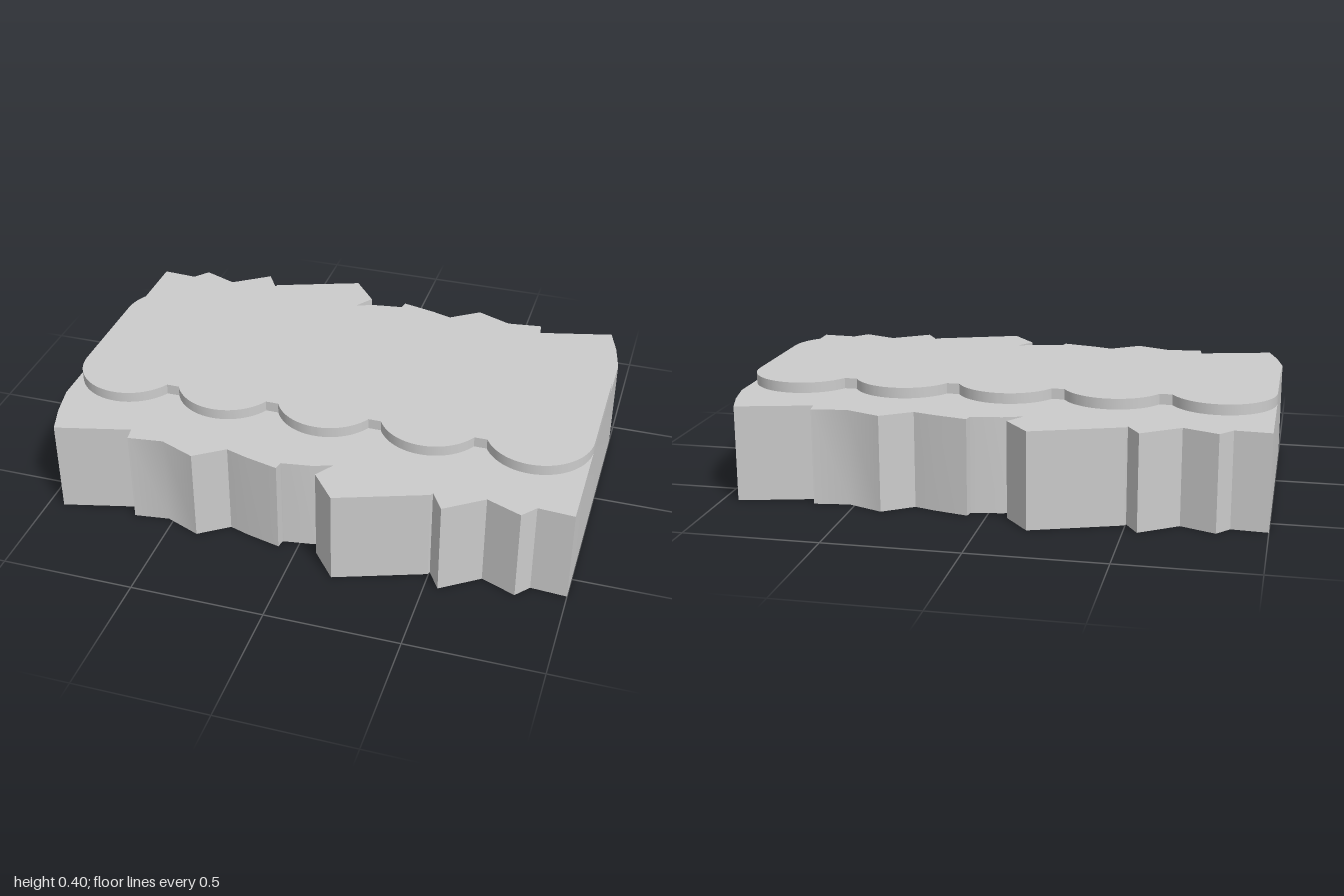
import * as THREE from 'three';
import { toCreasedNormals } from 'three/addons/utils/BufferGeometryUtils.js';

const BASE_HEIGHT = 0.36;
const PLATE_HEIGHT = 0.04;

// Extrude a plan drawn in x and z upwards from height y
function slab(name, shape, y, height, material) {
  const geometry = new THREE.ExtrudeGeometry(shape, { depth: height, bevelEnabled: false, curveSegments: 24 });
  geometry.rotateX(Math.PI / 2);
  geometry.translate(0, y + height, 0);
  const mesh = new THREE.Mesh(toCreasedNormals(geometry, 0.53), material);
  mesh.name = name;
  return mesh;
}

// Ragged outline: the back half is the front half turned by 180 degrees
function raggedShape() {
  const front = [
    [-1, 0.4], [-0.975, 0.52], [-0.94, 0.63], [-0.66, 0.56], [-0.652, 0.612],
    [-0.52, 0.595], [-0.387, 0.65], [-0.277, 0.573], [-0.2, 0.598], [-0.07, 0.63],
    [-0.064, 0.597], [0.05, 0.58], [0.122, 0.555], [0.075, 0.625], [0.168, 0.74],
    [0.497, 0.622], [0.502, 0.61], [0.55, 0.688], [0.69, 0.59], [0.82, 0.643],
    [0.866, 0.588], [1, 0.597],
  ];
  const back = front.map(([x, z]) => [-x, -z]);
  return new THREE.Shape([...front, ...back].map(([x, z]) => new THREE.Vector2(x, z)));
}

// Scalloped outline: five lobes on each long side, short flats between them
function scallopedShape() {
  const radius = 0.2, count = 5;
  const dip = Math.asin(0.095 / radius);
  const shape = new THREE.Shape();
  for (const side of [1, -1]) {
    for (let i = 0; i < count; i++) {
      const start = i === 0 ? 0 : dip;
      const end = i === count - 1 ? Math.PI : Math.PI - dip;
      const turn = side === 1 ? 0 : Math.PI;
      shape.absarc(side * (0.8 - 0.4 * i), side * 0.2, radius, start + turn, end + turn, false);
    }
  }
  shape.closePath();
  return shape;
}

export function createModel() {
  const model = new THREE.Group();
  model.name = 'scallopedPlateOnRaggedBase';
  const material = new THREE.MeshStandardMaterial({ color: 0xcccccc });
  model.add(
    slab('raggedBase', raggedShape(), 0, BASE_HEIGHT, material),
    slab('scallopedPlate', scallopedShape(), BASE_HEIGHT, PLATE_HEIGHT, material),
  );
  return model;
}
